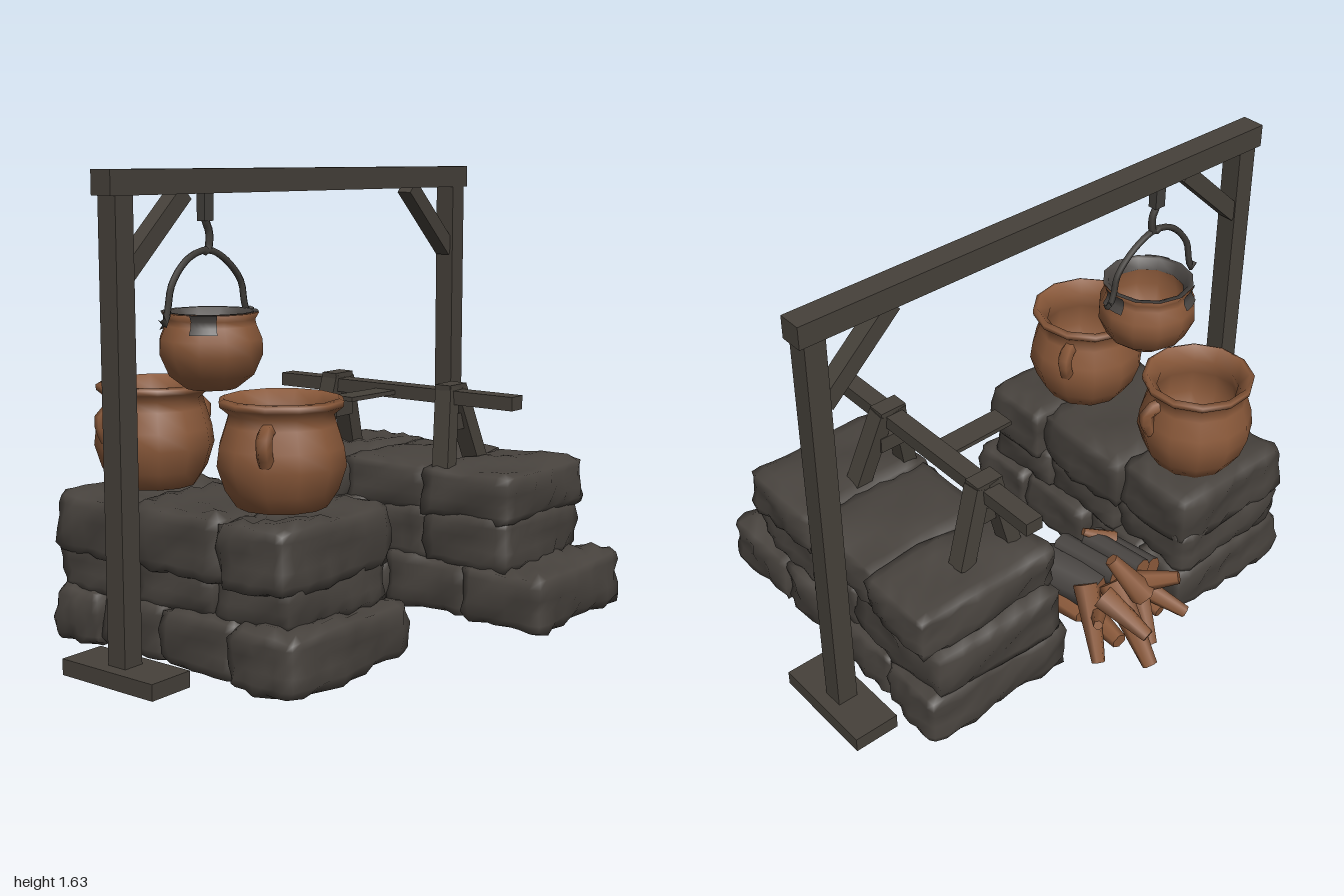
import * as THREE from 'three';
import { mergeVertices } from 'three/addons/utils/BufferGeometryUtils.js';

const mat = (name, color, side = THREE.FrontSide) => {
  const m = new THREE.MeshStandardMaterial({ color, side });
  m.name = name;
  return m;
};
const V = (x, y, z) => new THREE.Vector3(x, y, z);

export function createModel() {
  const stone = mat('stone', 0x48433e);
  const timber = mat('timber', 0x46413a);
  const clay = mat('clay', 0x8a593a);
  const soot = mat('soot', 0x4a4643, THREE.DoubleSide);
  const iron = mat('iron', 0x423f3b);
  const root = new THREE.Group();
  root.name = 'outdoorHearth';

  const add = (name, geo, material, parent) => {
    const m = new THREE.Mesh(geo, material);
    m.name = name;
    parent.add(m);
    return m;
  };
  const group = (name) => {
    const g = new THREE.Group();
    g.name = name;
    root.add(g);
    return g;
  };
  const box = (name, x0, x1, y0, y1, z0, z1, material, parent) => {
    const m = add(name, new THREE.BoxGeometry(x1 - x0, y1 - y0, z1 - z0), material, parent);
    m.position.set((x0 + x1) / 2, (y0 + y1) / 2, (z0 + z1) / 2);
  };
  // Places a y-aligned mesh so that it runs from p to q
  const span = (mesh, p, q) => {
    mesh.position.copy(p).add(q).multiplyScalar(0.5);
    mesh.quaternion.setFromUnitVectors(V(0, 1, 0), q.clone().sub(p).normalize());
  };
  const bar = (name, p, q, w, d, material, parent) =>
    span(add(name, new THREE.BoxGeometry(w, p.distanceTo(q), d), material, parent), p, q);

  // Timber frame
  const frame = group('frame');
  box('crossBeam', -0.975, 0.972, 1.55, 1.63, -0.19, -0.105, timber, frame);
  for (const s of [-1, 1]) {
    const c = s * 0.915;
    box('post', c - 0.038, c + 0.038, 0.05, 1.55, -0.185, -0.108, timber, frame);
    box('foot', c - 0.085, c + 0.085, 0, 0.055, -0.35, 0.058, timber, frame);
    bar('brace', V(s * 0.89, 1.305, -0.15), V(s * 0.625, 1.555, -0.15), 0.06, 0.06, timber, frame);
  }

  // Rough stone: a rounded box pushed about by broad waves and finer chipping
  let seed = 1;
  const rock = (x0, x1, y0, y1, z0, z1, parent) => {
    const h = [(x1 - x0) / 2, (y1 - y0) / 2, (z1 - z0) / 2];
    let g = new THREE.BoxGeometry(h[0] * 2, h[1] * 2, h[2] * 2, 10, 5, 7);
    g.deleteAttribute('uv');
    g.deleteAttribute('normal');
    g = mergeVertices(g);
    const pos = g.attributes.position, p = V(), inner = V(), r = 0.042;
    const k = seed++ * 2.4;
    for (let i = 0; i < pos.count; i++) {
      p.fromBufferAttribute(pos, i);
      inner.set(...p.toArray().map((v, a) => THREE.MathUtils.clamp(v, r - h[a], h[a] - r)));
      const d = p.clone().sub(inner);
      const out = d.clone().normalize();
      p.copy(inner).addScaledVector(out, Math.min(r, d.length()));
      const n = Math.sin(p.x * 17 + k) * Math.cos(p.z * 21 + k * 1.7) + Math.sin(p.y * 33 + p.x * 9 - p.z * 14 + k * 3);
      const chip = Math.sin(p.x * 61 + p.y * 47 + k) * Math.sin(p.z * 57 - p.y * 39 + k);
      p.addScaledVector(out, n * 0.007 + chip * 0.009 - 0.004);
      pos.setXYZ(i, p.x, p.y, p.z);
    }
    g.computeVertexNormals();
    const m = add('stone', g, stone, parent);
    m.position.set((x0 + x1) / 2, (y0 + y1) / 2, (z0 + z1) / 2);
  };
  // Each course: bottom, top, then stones as [xMin, xMax, zMin, zMax]
  const wall = (name, courses) => {
    const g = group(name);
    for (const [y0, y1, stones] of courses)
      for (const [x0, x1, z0, z1] of stones) rock(x0, x1, y0, y1, z0 - 0.014, z1 + 0.014, g);
  };
  wall('rightStoneWall', [
    [0.018, 0.228, [[-0.82, -0.2, 0.2, 0.465], [-0.79, -0.22, -0.12, 0.2], [-0.78, -0.26, -0.4, -0.12], [-0.81, -0.26, -0.6, -0.4]]],
    [0.195, 0.385, [[-0.75, -0.23, 0.08, 0.39], [-0.76, -0.25, -0.26, 0.08], [-0.78, -0.28, -0.59, -0.26]]],
    [0.32, 0.55, [[-0.79, -0.21, 0.13, 0.4], [-0.78, -0.24, -0.28, 0.13], [-0.8, -0.27, -0.59, -0.28]]],
  ]);
  wall('leftStoneWall', [
    [0.018, 0.235, [[0.22, 0.8, 0.38, 0.705], [0.24, 0.79, 0.03, 0.38], [0.23, 0.8, -0.26, 0.03], [0.2, 0.81, -0.52, -0.26]]],
    [0.2, 0.415, [[0.25, 0.765, 0.2, 0.545], [0.26, 0.785, -0.06, 0.2], [0.23, 0.78, -0.52, -0.06]]],
    [0.375, 0.568, [[0.25, 0.8, 0.19, 0.55], [0.26, 0.79, -0.17, 0.19], [0.22, 0.81, -0.475, -0.17]]],
  ]);

  // Roasting spit on two forked trestles
  const spit = group('spit');
  bar('spitBar', V(0.395, 0.805, 0.5), V(0.395, 0.803, -0.56), 0.068, 0.05, timber, spit);
  for (const [z, lean] of [[0.215, 0.03], [-0.31, -0.03]]) {
    bar('trestleLeg', V(0.315, 0.55, z + lean), V(0.375, 0.84, z), 0.055, 0.068, timber, spit);
    bar('trestleLeg', V(0.525, 0.55, z + lean), V(0.425, 0.83, z), 0.06, 0.068, timber, spit);
    box('trestleCap', 0.345, 0.45, 0.825, 0.85, z - 0.033, z + 0.033, timber, spit);
    box('trestleTie', 0.355, 0.455, 0.68, 0.74, z - 0.028, z + 0.028, timber, spit);
  }
  bar('crankPlank', V(0.1, 0.805, -0.055), V(0.37, 0.8, -0.055), 0.016, 0.09, timber, spit);

  // Pots
  const lathe = (pts, n = 12, a = 0, len = Math.PI * 2) =>
    new THREE.LatheGeometry(pts.map(([x, y]) => new THREE.Vector2(x, y)), n, a, len);
  const largePot = (x, z, turn, s) => {
    const pot = group('largePot');
    pot.position.set(x, 0.55, z);
    pot.rotation.y = turn;
    pot.scale.set(s, 1, s);
    add('potBody', lathe([[0, 0], [0.15, 0], [0.19, 0.06], [0.216, 0.14], [0.208, 0.2], [0.185, 0.27], [0.175, 0.305],
      [0.205, 0.33], [0.207, 0.348], [0.19, 0.356], [0.15, 0.31], [0.165, 0.25], [0.175, 0.16], [0.13, 0.05], [0, 0.04]]), clay, pot);
    const patch = add('sootPatch', new THREE.CircleGeometry(0.06, 10), soot, pot);
    patch.rotation.set(-Math.PI / 2, 0, -0.5 - turn);
    patch.scale.set(0.8, 1.25, 1);
    patch.position.y = 0.053;
    for (const e of [-1, 1]) {
      const path = new THREE.CatmullRomCurve3([V(e * 0.17, 0.27, 0), V(e * 0.213, 0.262, 0), V(e * 0.218, 0.22, 0), V(e * 0.195, 0.17, 0)]);
      add('potHandle', new THREE.TubeGeometry(path, 5, 0.027, 6), clay, pot);
    }
  };
  largePot(-0.5, 0.165, 0.45, 1);
  largePot(-0.5, -0.41, -0.2, 0.96);

  // Hanging cauldron with sooty mouth
  const kettle = group('hangingPot');
  kettle.position.set(-0.505, 0.905, -0.135);
  add('kettleBody', lathe([[0, 0], [0.085, 0.003], [0.145, 0.05], [0.176, 0.12], [0.174, 0.17], [0.155, 0.215], [0.15, 0.235],
    [0.163, 0.257], [0.145, 0.257], [0.13, 0.22], [0.15, 0.15], [0.11, 0.05], [0, 0.03]]), clay, kettle);
  add('sootRim', lathe([[0.163, 0.26], [0.144, 0.26], [0.128, 0.221]]), soot, kettle);
  add('sootFloor', lathe([[0.118, 0.068], [0.107, 0.055], [0, 0.036]]), soot, kettle);
  for (const [a, len] of [[-1.25, 0.55], [1.2, 0.6], [3.3, 0.5]])
    add('sootPatch', lathe([[0.171, 0.195], [0.158, 0.216], [0.154, 0.237], [0.166, 0.259]], 4, a, len), soot, kettle);

  // Bail and hook
  const tube = (name, pts, r, n, parent) =>
    add(name, new THREE.TubeGeometry(new THREE.CatmullRomCurve3(pts.map(([x, y]) => V(x, y, -0.145))), n, r, 5), iron, parent);
  const hanger = group('hanger');
  tube('bail', [[-0.725, 1.155], [-0.71, 1.135], [-0.695, 1.18], [-0.675, 1.26], [-0.6, 1.34], [-0.51, 1.365],
    [-0.42, 1.33], [-0.34, 1.25], [-0.325, 1.18], [-0.305, 1.135], [-0.29, 1.16]], 0.012, 28, hanger);
  tube('hook', [[-0.51, 1.56], [-0.515, 1.47], [-0.495, 1.42], [-0.505, 1.36], [-0.53, 1.365]], 0.014, 14, hanger);
  box('hookPlate', -0.533, -0.49, 1.46, 1.56, -0.165, -0.13, iron, hanger);

  // Firewood: sooty logs in front, thick split wood fanned steeply behind
  const pile = group('firewood');
  const log = (name, p, q, r0, r1, mats, n) =>
    span(add(name, new THREE.CylinderGeometry(r1, r0, p.distanceTo(q), n), mats, pile), p, q);
  const charred = [soot, clay, soot];
  const logs = [
    [0.045, 0.19, -0.21, -0.01, 0.2, -0.48, 0.088], [-0.03, 0.25, -0.23, -0.06, 0.27, -0.5, 0.05],
    [-0.15, 0.25, -0.28, -0.18, 0.27, -0.55, 0.045], [-0.1, 0.29, -0.3, -0.12, 0.31, -0.56, 0.04],
  ];
  for (const [x0, y0, z0, x1, y1, z1, r] of logs)
    log('charredLog', V(x0, y0, z0), V(x1, y1, z1), r, r * 0.92, charred, 8);
  const splits = [
    [-0.09, 0.1, -0.25, -0.07, 0.08, -0.6, 0.06], [0.09, 0.13, -0.24, 0.08, 0.13, -0.46, 0.055],
    [-0.14, 0.17, -0.33, -0.16, 0.12, -0.62, 0.05], [0.0, 0.09, -0.3, 0.02, 0.07, -0.6, 0.06],
    [-0.03, 0.26, -0.5, -0.01, 0.03, -0.73, 0.055], [0.04, 0.25, -0.44, 0.12, 0.03, -0.6, 0.05],
    [-0.12, 0.24, -0.52, -0.08, 0.04, -0.66, 0.05], [-0.1, 0.24, -0.5, -0.22, 0.13, -0.69, 0.045],
    [-0.07, 0.26, -0.62, 0.01, 0.41, -0.53, 0.05], [-0.06, 0.28, -0.56, -0.17, 0.33, -0.69, 0.045],
    [0.03, 0.24, -0.52, -0.01, 0.16, -0.71, 0.05], [0.03, 0.16, -0.5, 0.13, 0.22, -0.6, 0.035],
    [-0.02, 0.22, -0.26, -0.13, 0.06, -0.24, 0.035], [0.06, 0.09, -0.24, 0.14, 0.02, -0.36, 0.04],
    [-0.17, 0.29, -0.36, -0.07, 0.34, -0.3, 0.03],
  ];
  for (const [x0, y0, z0, x1, y1, z1, r] of splits)
    log('splitWood', V(x0, y0, z0), V(x1, y1, z1), r, r * 0.5, clay, 6);

  return root;
}
